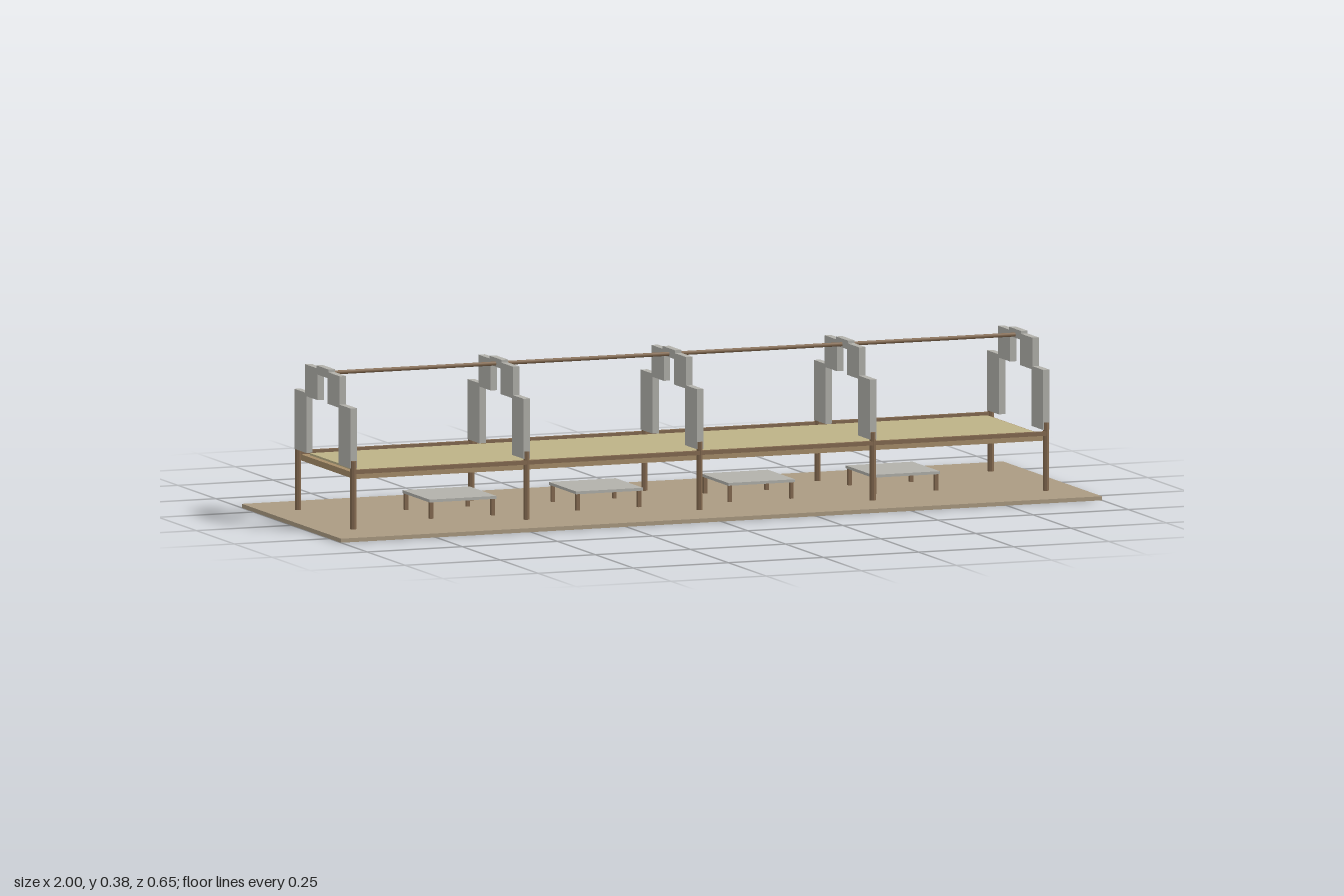
import * as THREE from 'three';

const material = (name, color) => {
  const m = new THREE.MeshStandardMaterial({ color });
  m.name = name;
  return m;
};

export function createModel() {
  const model = new THREE.Group();
  model.name = 'longPavilion';

  const earth = material('earth tan', 0xab9b82);
  const timber = material('timber brown', 0x846a50);
  const beam = material('beam tan', 0xa68d69);
  const straw = material('straw yellow', 0xbdb287);
  const stone = material('stone grey', 0xb2b1ab);

  const add = (name, geometry, mat, x, y, z, parent = model) => {
    const mesh = new THREE.Mesh(geometry, mat);
    mesh.name = name;
    mesh.position.set(x, y, z);
    parent.add(mesh);
    return mesh;
  };
  const box = (name, mat, w, h, d, x, y, z, parent) =>
    add(name, new THREE.BoxGeometry(w, h, d), mat, x, y, z, parent);

  // Ground slab
  box('base', earth, 2, 0.01, 0.654, 0, 0.005, 0);

  // Raised deck with its mat
  box('deck', beam, 1.81, 0.015, 0.35, 0, 0.1395, 0);
  box('mat', straw, 1.78, 0.005, 0.31, 0, 0.1495, 0);

  // Rails along both long sides
  for (const s of [-1, 1]) {
    box('sideRail', timber, 1.82, 0.01, 0.011, 0, 0.151, s * 0.184);
  }

  // Ridge pole joining the arches
  const ridge = add('ridgePole', new THREE.CylinderGeometry(0.005, 0.005, 1.82, 8), timber, 0, 0.371, 0);
  ridge.rotation.z = Math.PI / 2;

  // Stepped arch outline: one half, mirrored
  const half = [
    [0.107, 0.16], [0.185, 0.16], [0.185, 0.308], [0.114, 0.308],
    [0.114, 0.378], [0.04, 0.378], [0.04, 0.385],
  ];
  const inner = [[0.033, 0.363], [0.033, 0.3], [0.107, 0.3]];
  const mirror = (pts) => pts.map(([z, y]) => [-z, y]).reverse();
  const outline = [...half, ...mirror(half), ...mirror(inner), ...inner];
  const archGeometry = new THREE.ExtrudeGeometry(
    new THREE.Shape(outline.map(([z, y]) => new THREE.Vector2(z, y))),
    { depth: 0.017, bevelEnabled: false },
  );
  archGeometry.translate(0, 0, -0.0085);
  archGeometry.rotateY(Math.PI / 2);

  // Five frames: a pair of posts carrying an arch
  const postGeometry = new THREE.CylinderGeometry(0.008, 0.008, 0.168, 8).toNonIndexed();
  postGeometry.computeVertexNormals();
  for (let i = -2; i <= 2; i++) {
    const frame = new THREE.Group();
    frame.name = 'frame';
    frame.position.x = i * 0.455;
    add('arch', archGeometry, stone, 0, 0, 0, frame);
    for (const s of [-1, 1]) add('post', postGeometry, timber, 0, 0.094, s * 0.182, frame);
    model.add(frame);
  }

  // Low tables under the deck
  for (const x of [-0.585, -0.2, 0.2, 0.58]) {
    const table = new THREE.Group();
    table.name = 'lowTable';
    table.position.x = x;
    box('tableTop', stone, 0.176, 0.007, 0.18, 0, 0.0545, 0, table);
    for (const sx of [-1, 1]) {
      for (const sz of [-1, 1]) {
        box('tableLeg', timber, 0.009, 0.041, 0.009, sx * 0.081, 0.0305, sz * 0.082, table);
      }
    }
    model.add(table);
  }

  return model;
}
